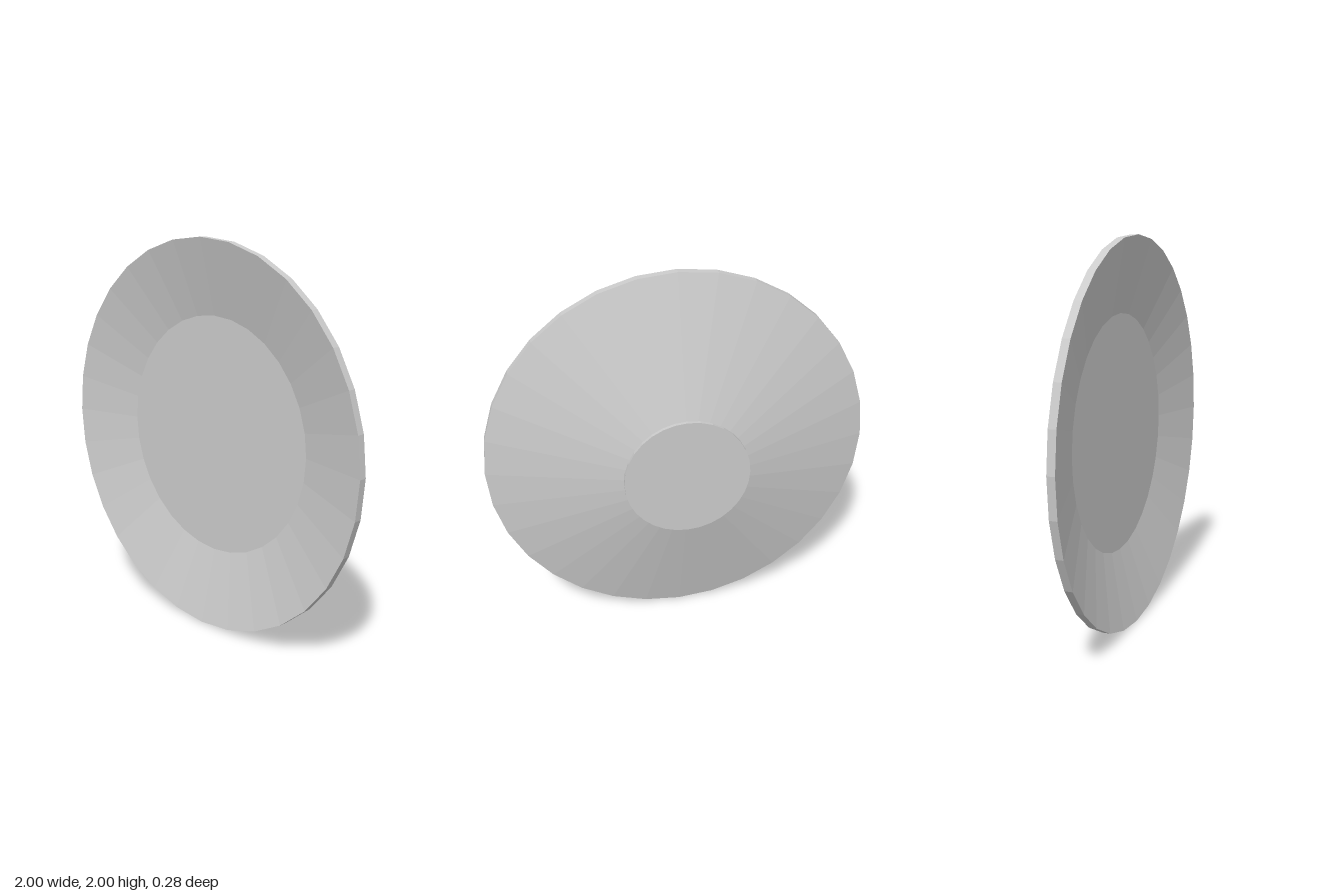
import * as THREE from 'three';

const SIDES = 32;
const CENTRE_HEIGHT = 1;

// Turns a [radius, z] profile, listed from back to front, around the z axis
function turned(name, profile) {
  const points = profile.map(([r, z]) => new THREE.Vector2(r, z));
  const geometry = new THREE.LatheGeometry(points, SIDES);
  geometry.rotateX(Math.PI / 2);
  const material = new THREE.MeshStandardMaterial({ color: 0xcccccc, flatShading: true });
  const mesh = new THREE.Mesh(geometry, material);
  mesh.name = name;
  mesh.position.y = CENTRE_HEIGHT;
  return mesh;
}

export function createModel() {
  const plate = new THREE.Group();
  plate.name = 'plate';

  // Sloping body with an upright rim band and a flat, sunken well
  plate.add(turned('dish', [
    [0, -0.1], [0.29, -0.1], [1, 0.1], [1, 0.14], [0.615, 0.045], [0, 0.045],
  ]));

  // Flared foot ring with a closed base
  plate.add(turned('foot', [
    [0, -0.14], [0.323, -0.14], [0.323, -0.122], [0.298, -0.1], [0, -0.1],
  ]));

  return plate;
}
